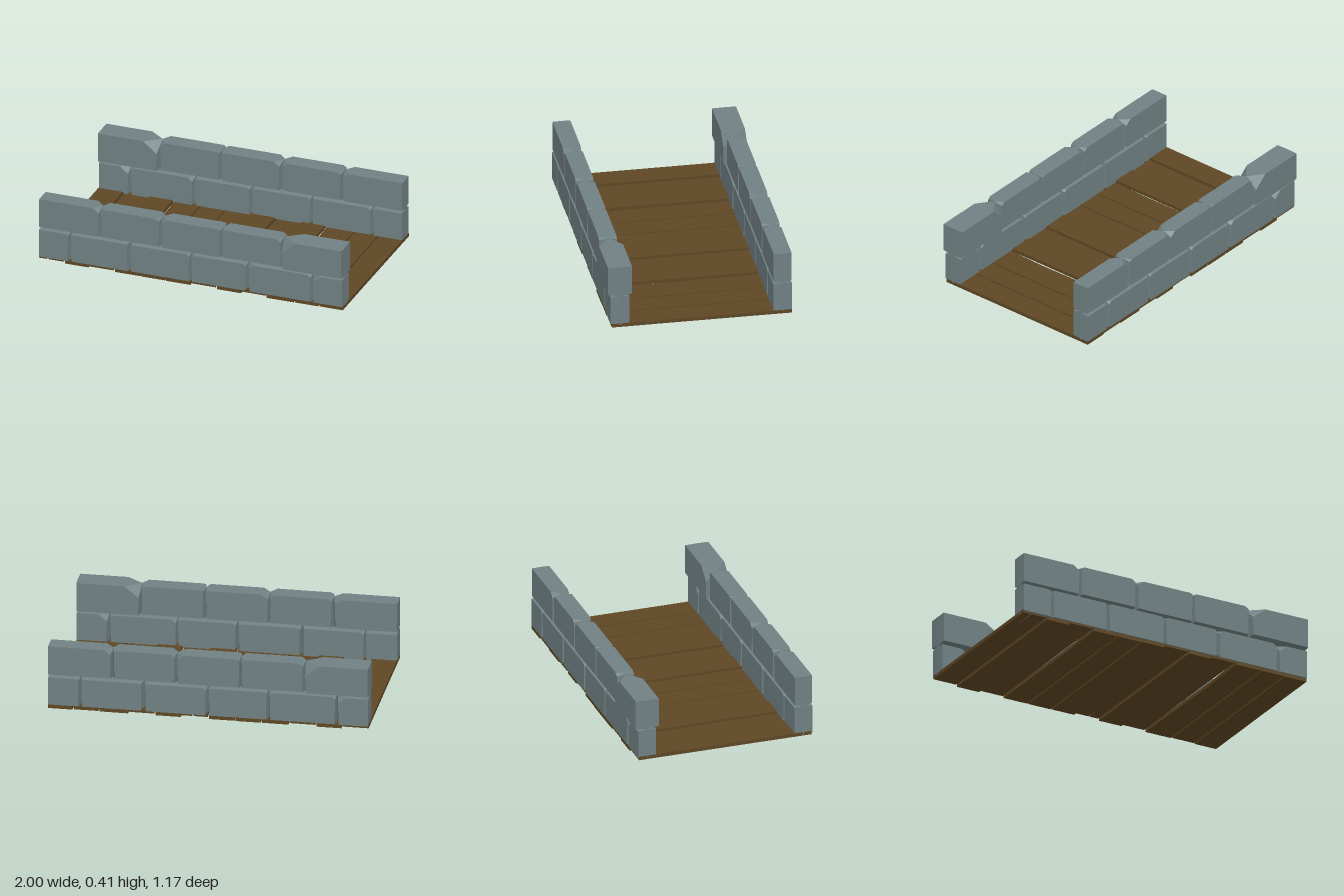
import * as THREE from 'three';
import { ConvexGeometry } from 'three/addons/geometries/ConvexGeometry.js';

const stoneMat = new THREE.MeshStandardMaterial({ color: 0x708083 });
stoneMat.name = 'grey stone';
const woodMat = new THREE.MeshStandardMaterial({ color: 0x5e4724 });
woodMat.name = 'brown wood';

// Small seeded jitter in -1..1
let seed = 7;
function jitter() {
  seed = (seed * 16807) % 2147483647;
  return (seed / 2147483647) * 2 - 1;
}

// Stone whose joint faces are shallow ridges: full size at mid depth, inset at both faces.
// clipL / clipR chip the upper corners of the two faces.
function makeStone({ x0, x1, y0, y1, half, top, clipL = 0, clipR = 0 }) {
  const pts = [];
  const endL = x0 <= -0.999, endR = x1 >= 0.999;
  for (const z of [-half, half]) {
    const l = x0 + (endL ? 0.002 : 0.013 + 0.003 * jitter());
    const r = x1 - (endR ? 0.002 : 0.013 + 0.003 * jitter());
    const b = y0 + 0.01 + 0.002 * jitter();
    const t = y1 - (top ? 0 : 0.01);
    pts.push([l, b, z], [r, b, z]);
    if (clipL) pts.push([l - 0.004, t - clipL * 0.85, z], [l + clipL, t, z]);
    else pts.push([l, t, z]);
    if (clipR) pts.push([r + 0.004, t - clipR * 0.85, z], [r - clipR, t, z]);
    else pts.push([r, t, z]);
  }
  pts.push([x0, y0, 0], [x1, y0, 0], [x0, y1, 0], [x1, y1, 0]);
  return new THREE.Mesh(new ConvexGeometry(pts.map(p => new THREE.Vector3(...p))), stoneMat);
}

function makeWall(name) {
  const wall = new THREE.Group();
  wall.name = name;
  // Lower course
  const low = [-1, -0.8, -0.403, -0.003, 0.373, 0.798, 1];
  const lowClips = [[0, 0.01], [0.015, 0], [0.01, 0.015], [0.015, 0.01], [0.025, 0.02], [0.05, 0]];
  lowClips.forEach(([clipL, clipR], i) => {
    const s = makeStone({ x0: low[i], x1: low[i + 1], y0: 0.014, y1: 0.214, half: 0.058, clipL, clipR });
    s.name = 'lowerStone' + (i + 1);
    wall.add(s);
  });
  // Upper course, ending in one thick chipped stone
  const upClips = [[0, 0.035], [0.015, 0.02], [0.035, 0.008], [0.008, 0.02], [0.085, 0]];
  upClips.forEach(([clipL, clipR], i) => {
    const s = makeStone({
      x0: -1 + i * 0.4, x1: -0.6 + i * 0.4, y0: 0.214, y1: 0.411,
      half: i === 4 ? 0.075 : 0.056, top: true, clipL, clipR
    });
    s.name = 'upperStone' + (i + 1);
    wall.add(s);
  });
  wall.children.forEach(s => { s.position.z = 0.508; });
  return wall;
}

// Plank outline in plan (shape y = -z), with slightly uneven long edges and an optional end crack
function makePlank(x0, x1, y, bowL, bowR, crack) {
  const zA = 0.562 + 0.004 * jitter(), zB = 0.562 + 0.004 * jitter();
  const c = (x0 + x1) / 2;
  const p = [[x0, -zA]];
  if (crack === 'front') p.push([c - 0.03, -zA], [c - 0.023, -0.35], [c - 0.019, -zA]);
  p.push([x1, -zA], [x1 - bowR, -0.2], [x1 - bowR * 0.5, 0.2], [x1, zB]);
  if (crack === 'back') p.push([c + 0.018, zB], [c + 0.014, 0.37], [c + 0.01, zB]);
  p.push([x0, zB], [x0 + bowL * 0.5, 0.2], [x0 + bowL, -0.2]);
  const shape = new THREE.Shape(p.map(q => new THREE.Vector2(...q)));
  const geo = new THREE.ExtrudeGeometry(shape, { depth: 0.023, bevelEnabled: false });
  geo.rotateX(-Math.PI / 2);
  geo.translate(0, y, 0);
  return new THREE.Mesh(geo, woodMat);
}

export function createModel() {
  const model = new THREE.Group();
  model.name = 'stoneBridge';

  // Two parapets, the rear one turned half round
  const front = makeWall('frontWall');
  const back = makeWall('backWall');
  back.rotation.y = Math.PI;
  model.add(front, back);

  // Deck of planks, some set a little lower
  const deck = new THREE.Group();
  deck.name = 'deck';
  const edges = [-1, -0.835, -0.672, -0.505, -0.332, -0.167, 0, 0.167, 0.333, 0.495, 0.682, 0.842, 1];
  const lowered = [1, 3, 4, 5, 7, 9, 10, 11];
  const cracks = { 0: 'front', 6: 'back' };
  for (let i = 0; i < 12; i++) {
    const x0 = edges[i] + (i === 0 ? 0 : 0.004);
    const x1 = edges[i + 1] - (i === 11 ? 0 : 0.004);
    const bowL = i === 9 ? 0.012 : i === 3 ? 0.005 : 0.001;
    const bowR = i === 2 ? 0.006 : i === 8 ? 0.004 : 0.001;
    const plank = makePlank(x0, x1, lowered.includes(i) ? 0 : 0.011, bowL, bowR, cracks[i]);
    plank.name = 'plank' + (i + 1);
    deck.add(plank);
  }
  model.add(deck);
  return model;
}
